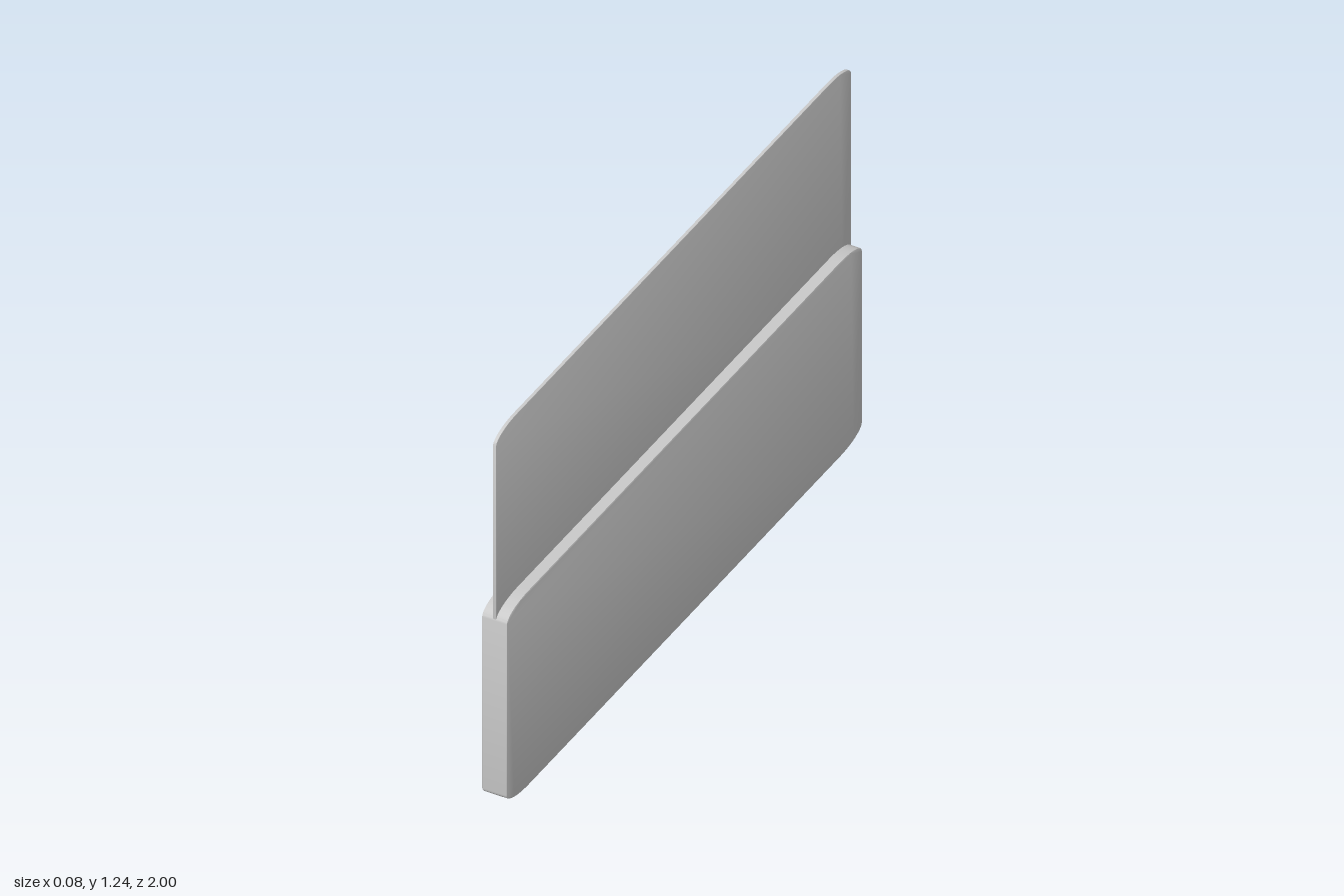
import * as THREE from 'three';
import { toCreasedNormals } from 'three/addons/utils/BufferGeometryUtils.js';

// Upright slab in the z-y plane with wide, shallow elliptical corners
function slab(name, halfLength, y0, y1, thickness, bevel) {
  const a = halfLength - bevel, b = y0 + bevel, t = y1 - bevel;
  const rz = 0.12, ry = 0.036;
  const s = new THREE.Shape();
  const corner = (cx, cy, start) =>
    s.absellipse(cx, cy, rz, ry, start, start + Math.PI / 2, false, 0);
  s.moveTo(-a + rz, b);
  s.lineTo(a - rz, b);
  corner(a - rz, b + ry, -Math.PI / 2);
  corner(a - rz, t - ry, 0);
  corner(-a + rz, t - ry, Math.PI / 2);
  corner(-a + rz, b + ry, Math.PI);

  const depth = thickness - 2 * bevel;
  const geometry = new THREE.ExtrudeGeometry(s, {
    depth, curveSegments: 6, bevelEnabled: true,
    bevelSize: bevel, bevelThickness: bevel, bevelSegments: 2,
  });
  geometry.translate(0, 0, -depth / 2);
  geometry.rotateY(Math.PI / 2);
  const mesh = new THREE.Mesh(
    toCreasedNormals(geometry, 0.6),
    new THREE.MeshStandardMaterial({ color: 0xcccccc }));
  mesh.name = name;
  return mesh;
}

export function createModel() {
  const group = new THREE.Group();
  group.name = 'partition';
  // Thick lower panel
  group.add(slab('lowerPanel', 1, 0, 0.655, 0.08, 0.004));
  // Thin upper sheet, its lower edge set into the panel
  group.add(slab('upperSheet', 0.999, 0.5, 1.24, 0.01, 0.001));
  return group;
}
